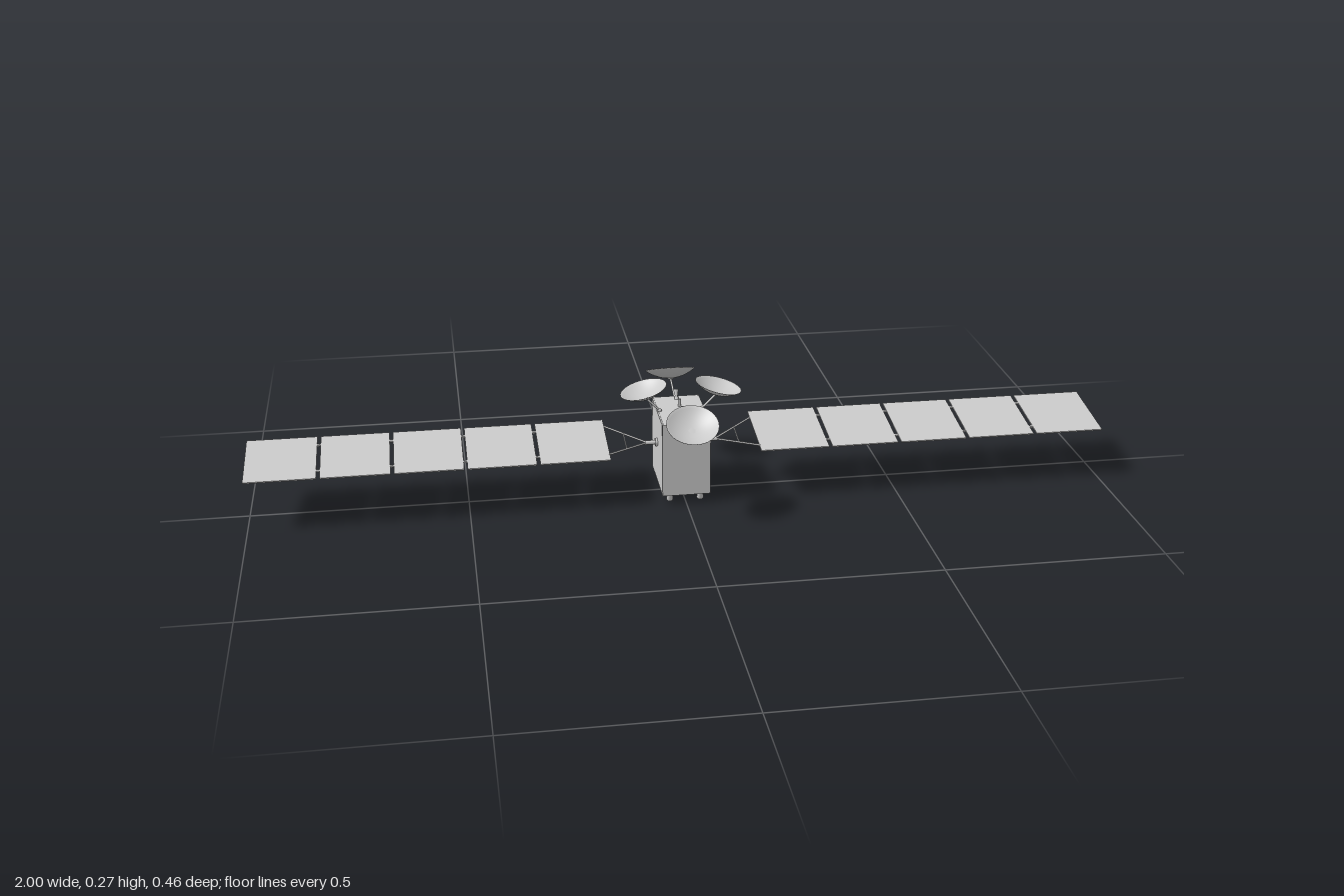
import * as THREE from 'three';

const grey = new THREE.MeshStandardMaterial({ color: 0xcccccc });
const greyDouble = new THREE.MeshStandardMaterial({ color: 0xcccccc, side: THREE.DoubleSide });
const V = (x, y, z) => new THREE.Vector3(x, y, z);
const UP = V(0, 1, 0);

function add(parent, name, geometry, x = 0, y = 0, z = 0, material = grey) {
  const mesh = new THREE.Mesh(geometry, material);
  mesh.name = name;
  mesh.position.set(x, y, z);
  parent.add(mesh);
  return mesh;
}

// Round bar from a to b, optionally flared
function bar(parent, name, a, b, r0, r1 = r0, open = false) {
  const d = b.clone().sub(a);
  const mesh = add(parent, name, new THREE.CylinderGeometry(r1, r0, d.length(), 16, 1, open),
    0, 0, 0, open ? greyDouble : grey);
  mesh.position.copy(a).addScaledVector(d, 0.5);
  mesh.quaternion.setFromUnitVectors(UP, d.normalize());
  return mesh;
}

// Parabolic dish on an arm; the rim centre is at "centre", the bowl opens along "normal"
function dish(parent, name, centre, normal, radius, armStart) {
  const depth = 0.021, wall = 0.0012, n = 10;
  const profile = [];
  for (let i = 0; i <= n; i++) {
    const t = i / n;
    profile.push(new THREE.Vector2(radius * t, depth * (t * t - 1) - wall));
  }
  for (let i = n; i >= 0; i--) {
    const t = i / n;
    profile.push(new THREE.Vector2(radius * t, depth * (t * t - 1)));
  }
  const bowl = add(parent, name, new THREE.LatheGeometry(profile, 40), 0, 0, 0, greyDouble);
  bowl.position.copy(centre);
  bowl.quaternion.setFromUnitVectors(UP, normal);
  const back = centre.clone().addScaledVector(normal, -depth - wall);
  bar(parent, name + 'Arm', armStart, back, 0.0025);
  bar(parent, name + 'Hub', back.clone().addScaledVector(normal, -0.003),
    back.clone().addScaledVector(normal, 0.002), 0.005, 0.008);
  const joint = add(parent, name + 'Joint', new THREE.SphereGeometry(0.005, 16, 10));
  joint.position.copy(armStart);
}

// Solar wing built towards +x, tilted about its long axis
function solarWing(name) {
  const wing = new THREE.Group();
  wing.name = name;
  const tilt = 0.143, midY = 0.135, start = 0.175, pitch = 0.165, gap = 0.008;
  const blanket = new THREE.Group();
  blanket.name = 'solarPanels';
  blanket.position.y = midY;
  blanket.rotation.x = tilt;
  wing.add(blanket);
  for (let i = 0; i < 5; i++) {
    const x0 = start + i * pitch + (i ? gap / 2 : 0);
    const x1 = start + (i + 1) * pitch - (i < 4 ? gap / 2 : 0);
    add(blanket, 'solarPanel', new THREE.BoxGeometry(x1 - x0, 0.003, 0.18), (x0 + x1) / 2);
    if (i) {
      for (const z of [-0.055, 0.055]) {
        add(blanket, 'panelHinge', new THREE.BoxGeometry(0.016, 0.004, 0.006), start + i * pitch, -0.001, z);
      }
    }
  }
  // Drive shaft and V-shaped yoke
  bar(wing, 'driveFlange', V(0.054, 0.122, 0), V(0.061, 0.122, 0), 0.01);
  bar(wing, 'driveShaft', V(0.054, 0.122, 0), V(0.085, 0.122, 0), 0.005);
  for (const s of [-1, 1]) {
    const z = s * 0.064;
    bar(wing, 'yokeStrut', V(0.08, 0.122, 0), V(0.178, midY - Math.sin(tilt) * z, z), 0.0022);
  }
  bar(wing, 'yokeCrossbar', V(0.132, 0.134, -0.034), V(0.132, 0.125, 0.034), 0.0015);
  return wing;
}

export function createModel() {
  const model = new THREE.Group();
  model.name = 'satellite';

  // Body with thin cover plates on its four sides
  const body = new THREE.Group();
  body.name = 'body';
  model.add(body);
  add(body, 'core', new THREE.BoxGeometry(0.106, 0.178, 0.168), 0, 0.111, 0);
  for (const s of [-1, 1]) {
    add(body, 'endPlate', new THREE.BoxGeometry(0.112, 0.178, 0.003), 0, 0.111, s * 0.0855);
    add(body, 'sidePlate', new THREE.BoxGeometry(0.003, 0.176, 0.166), s * 0.0545, 0.111, 0);
  }

  // Solar wings: the second is the first turned round, with the tilt kept the same by mirroring
  model.add(solarWing('leftSolarWing'));
  const rightWing = solarWing('rightSolarWing');
  rightWing.scale.x = -1;
  model.add(rightWing);

  // Four dish antennas
  for (const s of [-1, 1]) {
    dish(model, s > 0 ? 'frontDish' : 'backDish', V(0, 0.235, s * 0.174),
      V(0, 0.907, s * 0.42).normalize(), 0.0595, V(0, 0.189, s * 0.088));
    dish(model, s > 0 ? 'leftDish' : 'rightDish', V(s * 0.088, 0.257, 0),
      V(s * 0.242, 0.97, 0).normalize(), 0.055, V(s * 0.05, 0.202, 0));
  }

  // Roof equipment: flared horns and short sensors
  for (const s of [-1, 1]) {
    bar(model, 'feedHorn', V(0, 0.203, s * 0.069), V(0, 0.221, s * 0.078), 0.0025, 0.0065, true);
    bar(model, 'hornBase', V(0, 0.199, s * 0.067), V(0, 0.205, s * 0.07), 0.005);
    bar(model, 'roofSensor', V(0, 0.199, s * 0.024), V(0, 0.218, s * 0.024), 0.0035);
  }

  // Underside: main engine ring and four corner thrusters
  const ring = [[0.017, 0.024], [0.017, 0.013], [0.024, 0.013], [0.024, 0.024]]
    .map(([r, y]) => new THREE.Vector2(r, y));
  const ringMesh = add(model, 'engineRing', new THREE.LatheGeometry(ring, 32), 0, 0, 0, greyDouble);
  ringMesh.geometry = ringMesh.geometry.toNonIndexed();
  ringMesh.geometry.computeVertexNormals();
  bar(model, 'engineNozzle', V(0, 0.023, 0), V(0, 0.014, 0), 0.004, 0.011, true);
  for (const sx of [-1, 1]) {
    for (const sz of [-1, 1]) {
      bar(model, 'thrusterBase', V(sx * 0.036, 0.024, sz * 0.069), V(sx * 0.036, 0.014, sz * 0.066), 0.006);
      bar(model, 'thrusterNozzle', V(sx * 0.036, 0.017, sz * 0.067), V(sx * 0.036, 0.0025, sz * 0.061), 0.006, 0.008, true);
    }
  }
  return model;
}
